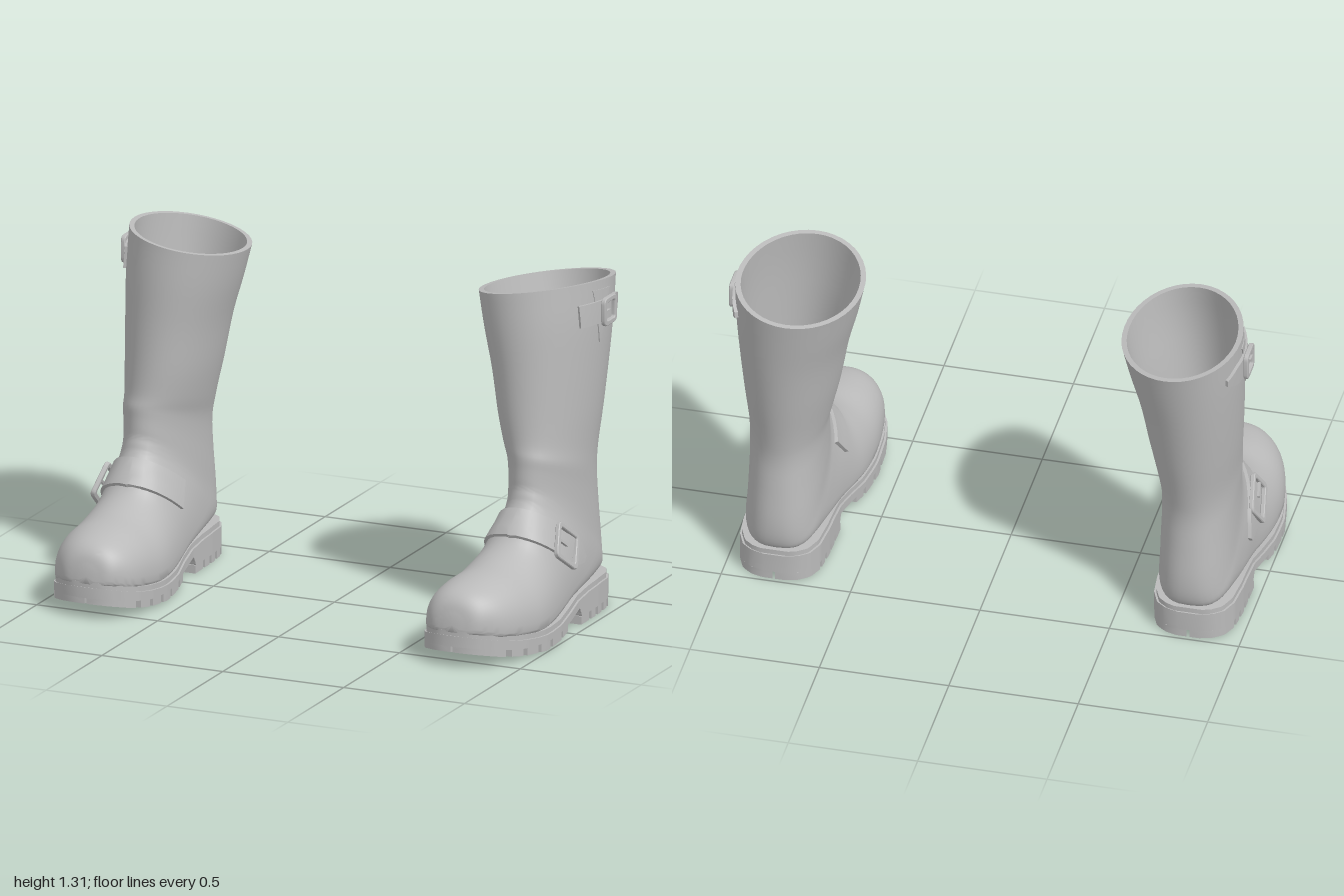
import * as THREE from 'three';
import { toCreasedNormals } from 'three/addons/utils/BufferGeometryUtils.js';

// Cross-sections of the upper from toe to rim:
// bottom/back z, y, top/front z, y, centre x, half width, widest fraction, lower and upper roundness
const SECTIONS = [
  [.588, .14, .582, .20, .757, .03, .4, .6, 1],
  [.577, .13, .565, .25, .759, .085, .35, .5, 1],
  [.545, .12, .53, .283, .762, .125, .3, .4, .95],
  [.49, .105, .47, .303, .768, .163, .25, .35, .95],
  [.40, .09, .38, .317, .777, .188, .22, .35, .95],
  [.28, .075, .28, .327, .784, .20, .2, .35, 1],
  [.16, .075, .21, .35, .787, .195, .2, .35, 1],
  [.04, .085, .155, .385, .79, .18, .22, .35, 1],
  [-.09, .105, .115, .435, .793, .168, .26, .4, 1],
  [-.25, .12, .08, .475, .797, .16, .32, .45, 1],
  [-.38, .125, .055, .51, .798, .153, .38, .55, 1],
  [-.455, .13, .045, .535, .798, .148, .42, .65, 1],
  [-.482, .17, .035, .56, .797, .144, .45, .75, 1],
  [-.488, .26, .032, .59, .796, .142, .45, .85, 1],
];
const SHAFT = [
  [-.475, .40, .028, .63, .796, .141, .46, .9, 1],
  [-.465, .52, .025, .67, .795, .145, .47, .95, 1],
  [-.475, .62, .015, .72, .787, .156, .48, 1, 1],
  [-.505, .78, .008, .82, .778, .176, .48, 1, 1],
  [-.54, .97, .0, .98, .768, .197, .48, 1, 1],
  [-.568, 1.12, -.006, 1.15, .752, .22, .48, 1, 1],
  [-.592, 1.25, -.018, 1.295, .737, .233, .48, 1, 1],
];
const ALL = [...SECTIONS, ...SHAFT], LAST = ALL.length - 1;
const spline = new THREE.CubicInterpolant(ALL.map((_, i) => i), ALL.flat(), 9);

function section(t) {
  const [zb, yb, zt, yt, cx, w, c, eb, et] = spline.evaluate(t);
  const rise = Math.max(0, (t - 15) / (LAST - 15));
  return { zb, yb, dz: zt - zb, dy: yt - yb, cx, w, c, eb, et, skew: -.06 * rise, tilt: .15 * rise * rise };
}

function upperRing(t, inset = 0, n = 44) {
  const r = section(t), len = Math.hypot(r.dz, r.dy);
  return Array.from({ length: n }, (_, i) => {
    const a = i / n * Math.PI * 2, C = Math.cos(a), S = Math.sin(a);
    const e = C > 0 ? r.et : r.eb, k = Math.abs(C) ** e;
    let s = C > 0 ? r.c + (1 - r.c) * k : r.c - r.c * k;
    s = .5 + (s - .5) * (1 - 2 * inset / len);
    const h = Math.sign(S) * Math.abs(S) ** e * (r.w - inset);
    return [r.cx + h + r.skew * (s - .5), r.yb + r.dy * s + h * r.tilt, r.zb + r.dz * s];
  });
}

// Closed loft through rings, wound so that its faces look outward
function solid(rings, crease = .6) {
  const n = rings[0].length, pos = rings.flat(), idx = [];
  for (let i = 0; i < rings.length - 1; i++) for (let j = 0; j < n; j++) {
    const a = i * n + j, b = i * n + (j + 1) % n;
    idx.push(a, b, a + n, b, b + n, a + n);
  }
  [0, rings.length - 1].forEach((r, end) => {
    const mid = [0, 1, 2].map(k => rings[r].reduce((sum, p) => sum + p[k], 0) / n);
    const m = pos.push(mid) - 1;
    for (let j = 0; j < n; j++) {
      const a = r * n + j, b = r * n + (j + 1) % n;
      idx.push(m, ...(end ? [a, b] : [b, a]));
    }
  });
  const v = pos.map(p => new THREE.Vector3(...p).sub(new THREE.Vector3(...pos[0])));
  let volume = 0;
  for (let i = 0; i < idx.length; i += 3)
    volume += v[idx[i]].dot(v[idx[i + 1]].clone().cross(v[idx[i + 2]]));
  if (volume < 0) idx.reverse();
  const g = new THREE.BufferGeometry();
  g.setAttribute('position', new THREE.Float32BufferAttribute(pos.flat(), 3));
  g.setIndex(idx);
  return toCreasedNormals(g, crease);
}

// Point on the upper seen at (z, y) from the side, raised by off; side 0 is the ridge
function onUpper(z, y, side, off) {
  let lo = 2, hi = LAST;
  for (let i = 0; i < 30; i++) {
    const t = (lo + hi) / 2, q = section(t);
    if (q.dz * (y - q.yb) - q.dy * (z - q.zb) > 0) lo = t; else hi = t;
  }
  const r = section(lo), len2 = r.dz ** 2 + r.dy ** 2, len = Math.sqrt(len2);
  let s = ((z - r.zb) * r.dz + (y - r.yb) * r.dy) / len2;
  s = side === 0 ? 1 : Math.min(1, Math.max(0, s));
  const k = s > r.c ? (s - r.c) / (1 - r.c) : (r.c - s) / r.c, e = s > r.c ? r.et : r.eb;
  const f = Math.max(0, 1 - k ** (2 / e)) ** (e / 2);
  const lift = off * Math.sqrt(Math.max(0, 1 - f * f)) * Math.sign(s - r.c) / len;
  return [r.cx + r.skew * (s - .5) + side * (f * r.w + off * f),
    r.yb + r.dy * (s + lift), r.zb + r.dz * (s + lift)];
}

// Strap hugging the upper, from edge A-B along dir, narrowing to its tip
function strap(A, B, dir, stations, length, tip, end, off) {
  return solid(stations.map(([side, d]) => {
    const k = side < 0 ? 1 : end + (1 - end) * Math.min(1, (length - d) / tip);
    const row = o => [0, 1, 2, 3].map(i => {
      const v = .5 + (i / 3 - .5) * k;
      return onUpper(A[0] + (B[0] - A[0]) * v + dir[0] * d, A[1] + (B[1] - A[1]) * v + dir[1] * d, side, o);
    });
    return [...row(off), ...row(-.006).reverse()];
  }), .5);
}

function roundedRect(path, w, h, r) {
  path.moveTo(-w + r, -h);
  [[w, -h, 1, 0], [w, h, 0, 1], [-w, h, -1, 0], [-w, -h, 0, -1]].forEach(([x, y, dx, dy]) => {
    path.lineTo(x - dx * r, y - dy * r);
    path.quadraticCurveTo(x, y, x - dy * r, y + dx * r);
  });
  return path;
}

// Frame and prong of a buckle lying on the outer side
function buckle(z, y, w, h, turn, lean) {
  const shape = roundedRect(new THREE.Shape(), w, h, .022);
  shape.holes.push(roundedRect(new THREE.Path(), w - .014, h - .014, .012));
  const frame = new THREE.ExtrudeGeometry(shape, { depth: .012, bevelEnabled: true, bevelSize: .003,
    bevelThickness: .003, bevelSegments: 1, curveSegments: 4 });
  const prong = new THREE.BoxGeometry(w * .9, .01, .01).translate(-w * .5, 0, .008);
  const p = onUpper(z, y, 1, .014);
  return [frame, prong].map(g => toCreasedNormals(
    g.rotateZ(turn).rotateY(Math.PI / 2).rotateZ(lean).translate(...p), .6));
}

// Sole outline and heights by z
const table = rows => z => {
  const i = Math.max(1, rows.findIndex((r, k) => k > 0 && (z >= r[0] || k === rows.length - 1)));
  const [a, b] = [rows[i - 1], rows[i]];
  return a[1] + (b[1] - a[1]) * Math.min(1, Math.max(0, (z - a[0]) / (b[0] - a[0])));
};
const halfWidth = table([[.593, .03], [.585, .06], [.57, .095], [.53, .142], [.47, .177], [.38, .2], [.25, .212],
  [.12, .203], [0, .182], [-.1, .168], [-.28, .166], [-.38, .156], [-.44, .13], [-.47, .09], [-.484, .04]]);
const centre = table([[.59, .757], [.25, .785], [0, .798], [-.48, .8]]);
const top = table([[.59, .147], [.5, .122], [.4, .104], [.3, .09], [.2, .085], [.1, .09], [0, .104],
  [-.1, .122], [-.2, .134], [-.3, .138], [-.48, .132]]);
const base = table([[.59, .085], [.5, .067], [.4, .05], [.25, .038], [.12, .042], [0, .052],
  [-.115, .072], [-.12, .035], [-.49, .035]]);
const tread = table([[.59, .062], [.5, .04], [.4, .022], [.25, .006], [.12, .012], [0, .03],
  [-.115, .05], [-.12, .003], [-.49, .003]]);

// Piece of sole between z0 and z1 and between width fractions u0 and u1
function slab(z0, z1, u0, u1, yTop, yBot, n = 2, slant = 0, inset = 0) {
  const rings = [];
  for (let i = 0; i <= n; i++) {
    const z = z0 + (z1 - z0) * i / n;
    const at = (u, fy) => {
      const q = Math.min(.593, Math.max(-.484, z + slant * Math.abs(u)));
      return [centre(q) + u * (halfWidth(q) - inset), fy(q), q];
    };
    rings.push([at(u0, yTop), at(u1, yTop), at(u1, yBot), at(u0, yBot)]);
  }
  return solid(rings, .5);
}

function bootParts() {
  const parts = [], add = (name, ...geos) => geos.forEach(g => parts.push([name, g]));

  // Hollow upper: outside from toe to rim, then the lining back down
  const rings = [];
  for (let t = 0; t <= LAST; t += .25) rings.push(upperRing(t));
  for (let t = LAST; t >= 5; t -= .5) rings.push(upperRing(t, .02));
  add('upper', solid(rings, .9));

  // Welt and sole
  const under = z => top(z) - .02;
  add('welt', slab(.587, -.478, -1, 1, top, z => top(z) - .022, 90, 0, .008));
  add('sole', slab(.593, -.118, -1, 1, under, base, 70), slab(-.117, -.484, -1, 1, under, base, 40));

  // Tread blocks: edge lugs and split chevrons down the middle
  const edge = [[.46, .40], [.38, .31], [.29, .22], [.20, .12], [.10, .04],
    [-.12, -.19], [-.21, -.25], [-.27, -.31], [-.33, -.365]];
  for (const [a, b] of edge) for (const s of [-1, 1]) {
    add('edgeLug', slab(a, b, s * .55, s, base, tread));
    const c = (a + b) / 2;
    add('centreLug', slab(c + .035, c - .012, s * .06, s * .42, base, tread, 2, -.06));
  }
  for (const s of [-1, 1]) {
    add('toeLug', slab(.59, .485, s * .1, s, base, tread, 8));
    add('heelLug', slab(-.385, -.483, s * .12, s, base, tread, 8));
  }

  // Instep strap over the ridge, short on the inner side
  const stations = [];
  for (let i = 9; i > 0; i--) stations.push([-1, .2 * (i / 9) ** 2]);
  stations.push([0, 0]);
  for (let i = 1; i <= 16; i++) stations.push([1, .335 * (i / 16) ** 1.6]);
  add('instepStrap', strap([.152, .402], [.08, .492], [.81 * -1, -.585], stations, .335, .075, .25, .013));
  add('instepBuckle', ...buckle(-.015, .335, .078, .07, -.62, .25));

  // Side gusset, strap and buckle below the rim
  const run = (n, length) => Array.from({ length: n + 1 }, (_, i) => [1, length * i / n]);
  add('gusset', strap([-.24, 1.285], [-.35, 1.285], [.093, -.995], run(8, .215), .215, .215, .04, .004));
  add('shaftStrap', strap([-.165, 1.15], [-.165, 1.235], [-1, -.01], run(12, .305), .305, .06, .3, .012));
  add('shaftBuckle', ...buckle(-.31, 1.19, .052, .052, 0, 0));
  return parts;
}

function mirrored(geometry) {
  const g = geometry.clone().scale(-1, 1, 1);
  for (const { array } of Object.values(g.attributes)) {
    const size = array.length / g.attributes.position.count;
    for (let i = 0; i < array.length; i += 3 * size) for (let k = 0; k < size; k++)
      [array[i + k], array[i + 2 * size + k]] = [array[i + 2 * size + k], array[i + k]];
  }
  return g;
}

export function createModel() {
  const grey = new THREE.MeshStandardMaterial({ color: 0xbababa });
  grey.name = 'grey';
  const model = new THREE.Group(), left = new THREE.Group(), right = new THREE.Group();
  model.name = 'boots';
  left.name = 'leftBoot';
  right.name = 'rightBoot';
  for (const [name, geometry] of bootParts()) {
    for (const [boot, g] of [[left, geometry], [right, mirrored(geometry)]]) {
      const mesh = new THREE.Mesh(g, grey);
      mesh.name = name;
      boot.add(mesh);
    }
  }
  model.add(left, right);
  return model;
}
